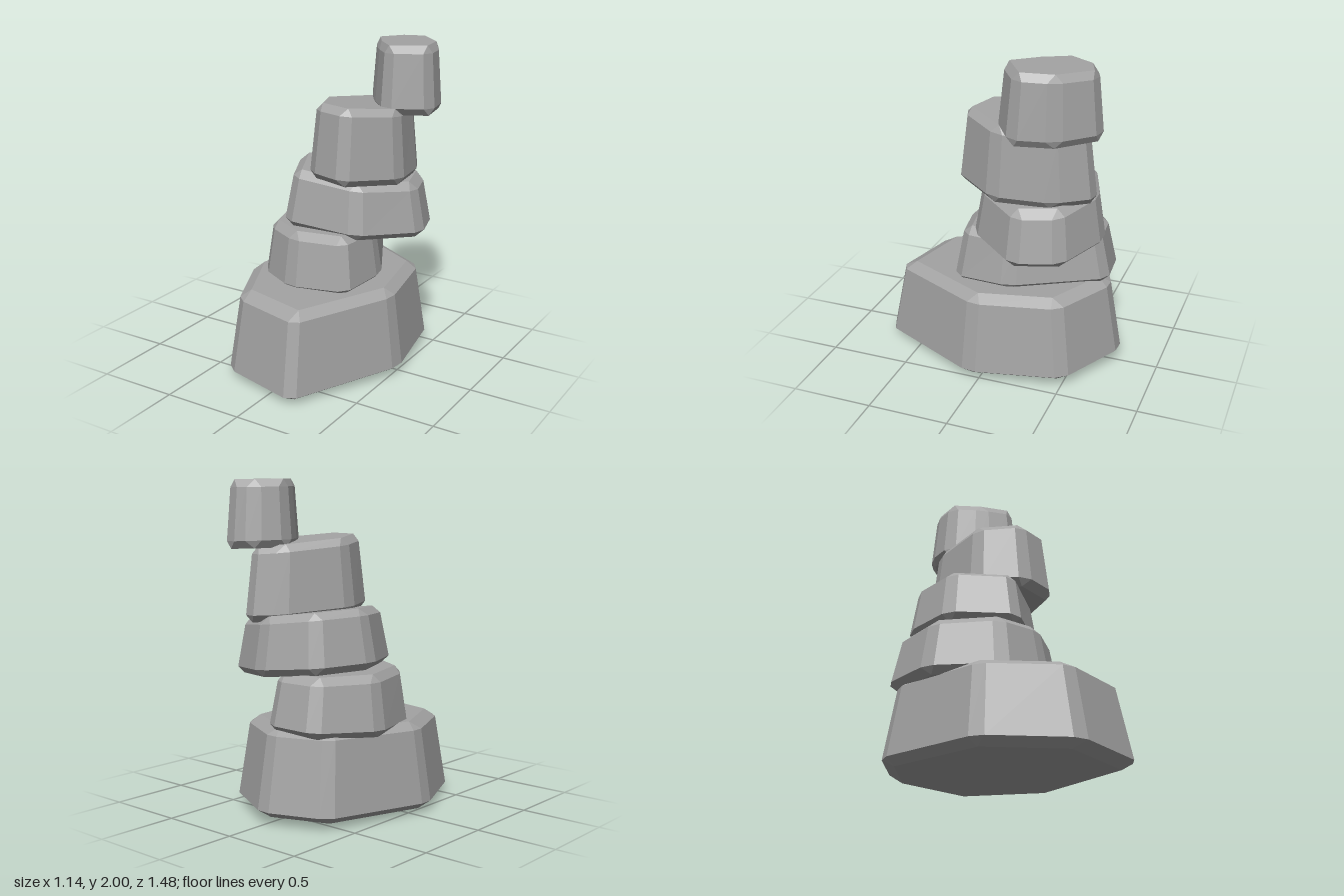
import * as THREE from 'three';

const CHAMFER = 0.05; // width cut off each upright corner
const RIM = 0.045; // height of the top and bottom bevels
const LOW_SCALE = 0.88, HIGH_SCALE = 0.89, TOP_SCALE = 0.77; // taper relative to the widest ring

// Split every corner into two points, one along each neighbouring edge
function chamferCorners(corners) {
  const n = corners.length;
  const towards = (a, b) => a.clone().lerp(b, CHAMFER / a.distanceTo(b));
  return corners.flatMap((c, i) => [
    towards(c, corners[(i + n - 1) % n]),
    towards(c, corners[(i + 1) % n]),
  ]);
}

// A tapered, bevelled polygon block. outline: flat list of x, z corners.
// bottom and top: height, slope along x, slope along z of the two end faces.
function createStone(name, material, outline, bottomPlane, topPlane) {
  const n = outline.length / 2;
  const corners = Array.from({ length: n }, (_, i) => new THREE.Vector2(outline[2 * i], outline[2 * i + 1]));
  const wide = chamferCorners(corners);
  const centre = corners.reduce((sum, c) => sum.add(c), new THREE.Vector2()).divideScalar(n);

  const ring = (points, scale, [height, slopeX, slopeZ], lift) => points.map((p) => {
    const q = centre.clone().lerp(p, scale);
    return [q.x, height + lift + slopeX * q.x + slopeZ * q.y, q.y];
  });
  const bottom = ring(corners, LOW_SCALE, bottomPlane, 0);
  const low = ring(wide, 1, bottomPlane, RIM);
  const high = ring(wide, HIGH_SCALE, topPlane, -RIM);
  const top = ring(corners, TOP_SCALE, topPlane, 0);

  const positions = [];
  const tri = (a, b, c) => positions.push(...a, ...b, ...c);
  const quad = (a, b, c, d) => { tri(a, b, c); tri(a, c, d); };

  // Tapered sides
  for (let j = 0; j < 2 * n; j++) {
    const k = (j + 1) % (2 * n);
    quad(low[j], low[k], high[k], high[j]);
  }
  // Bevelled rims with a small triangle at each corner
  for (let i = 0; i < n; i++) {
    const next = (i + 1) % n;
    const a = 2 * i, b = a + 1, c = 2 * next;
    quad(high[b], high[c], top[next], top[i]);
    tri(high[a], high[b], top[i]);
    quad(bottom[i], bottom[next], low[c], low[b]);
    tri(bottom[i], low[b], low[a]);
  }
  // Flat caps
  for (let i = 1; i < n - 1; i++) {
    tri(top[0], top[i], top[i + 1]);
    tri(bottom[0], bottom[i + 1], bottom[i]);
  }

  const geometry = new THREE.BufferGeometry();
  geometry.setAttribute('position', new THREE.Float32BufferAttribute(positions, 3));
  geometry.computeVertexNormals(); // unshared corners give flat facets
  const mesh = new THREE.Mesh(geometry, material);
  mesh.name = name;
  return mesh;
}

export function createModel() {
  const stoneGrey = new THREE.MeshStandardMaterial({ color: 0xa3a3a3 });
  stoneGrey.name = 'stoneGrey';

  const group = new THREE.Group();
  group.name = 'stackedStones';
  group.add(
    createStone('baseStone', stoneGrey,
      [-0.585, 0.09, -0.345, 0.615, 0.19, 0.75, 0.545, 0.06, 0.44, -0.52, -0.01, -0.765, -0.39, -0.61],
      [0.02, 0, -0.028], [0.55, 0, -0.025]),
    createStone('secondStone', stoneGrey,
      [-0.51, -0.27, -0.38, 0.16, -0.1, 0.315, 0.27, 0.25, 0.31, -0.12, 0.02, -0.67, -0.31, -0.64],
      [0.515, 0.03, -0.03], [0.875, 0.01, 0]),
    createStone('thirdStone', stoneGrey,
      [-0.39, -0.2, -0.21, 0.185, 0.26, 0.12, 0.54, -0.22, 0.46, -0.5, 0.1, -0.665, -0.25, -0.54],
      [0.855, -0.085, 0], [1.21, -0.115, 0]),
    createStone('fourthStone', stoneGrey,
      [-0.165, -0.13, -0.04, 0.165, 0.23, 0.235, 0.465, -0.07, 0.4, -0.42, 0.22, -0.645, 0.03, -0.54],
      [1.195, -0.03, 0.055], [1.655, -0.025, 0.085]),
    createStone('topStone', stoneGrey,
      [0.05, -0.44, 0.17, -0.24, 0.335, -0.06, 0.58, -0.22, 0.53, -0.47, 0.32, -0.69, 0.16, -0.63],
      [1.603, -0.03, 0.01], [2.002, 0, 0.02]),
  );
  return group;
}
